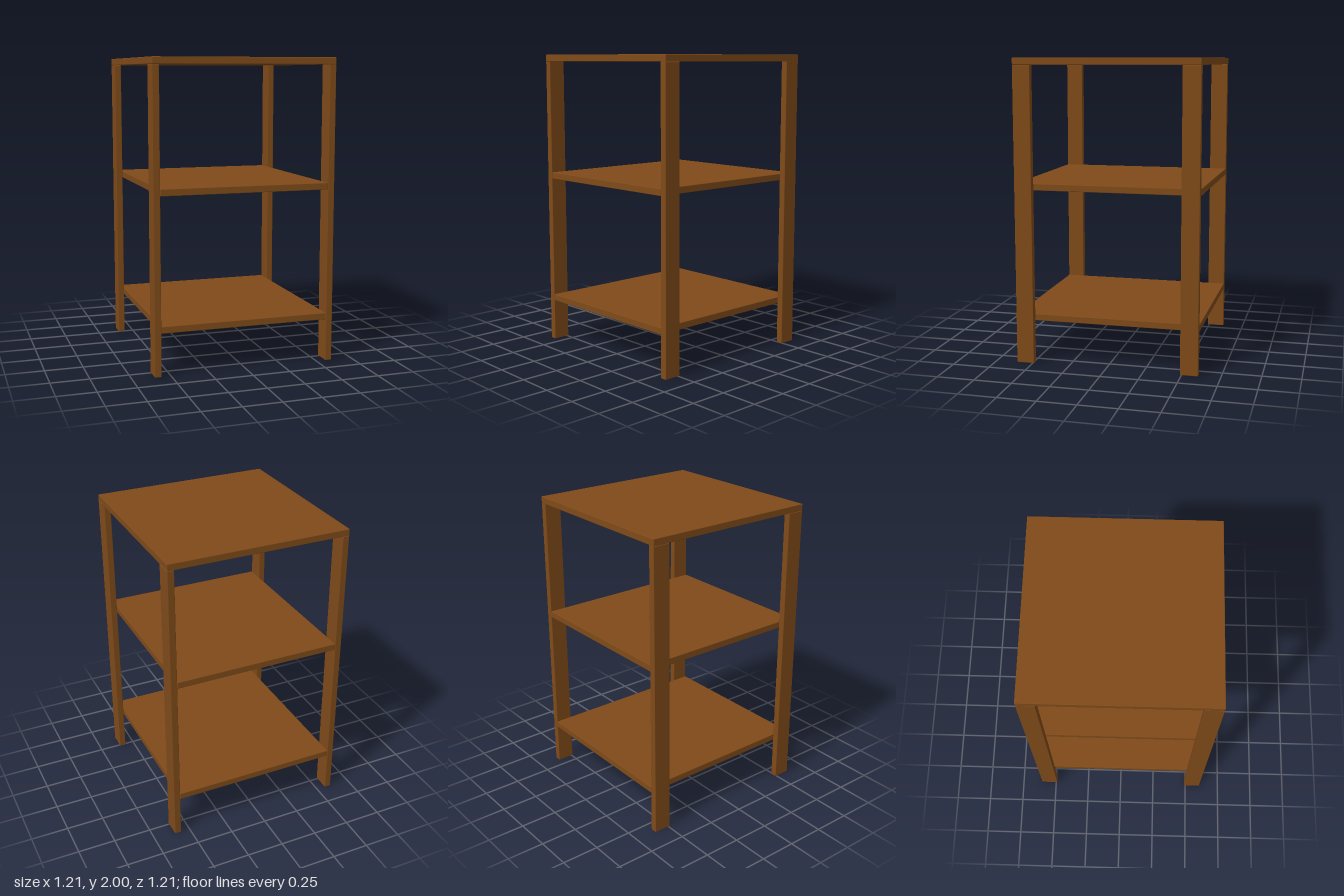
import * as THREE from 'three';
import { RoundedBoxGeometry } from 'three/addons/geometries/RoundedBoxGeometry.js';

const HALF = 0.607;      // half width and depth of the stand
const BOARD = 0.045;     // board thickness
const LEG_DEPTH = 0.117;
const HEIGHT = 2;

export function createModel() {
  const group = new THREE.Group();
  const wood = new THREE.MeshStandardMaterial({ color: 0x7f4a19 });

  // Board with slightly eased edges, placed by its centre
  const board = (name, w, h, d, x, y, z) => {
    const mesh = new THREE.Mesh(new RoundedBoxGeometry(w, h, d, 2, 0.004), wood);
    mesh.name = name;
    mesh.position.set(x, y, z);
    group.add(mesh);
  };

  // Top panel resting on the legs
  board('top', 2 * HALF, BOARD, 2 * HALF, 0, HEIGHT - BOARD / 2, 0);

  // Shelves fitted between the left and right legs
  const shelfWidth = 2 * (HALF - BOARD);
  board('lowerShelf', shelfWidth, BOARD, 2 * HALF, 0, 0.304, 0);
  board('middleShelf', shelfWidth, BOARD, 2 * HALF, 0, 1.172, 0);

  // Four flat plank legs flush with the corners
  const legHeight = HEIGHT - BOARD;
  for (const [side, sx] of [['Left', 1], ['Right', -1]]) {
    for (const [end, sz] of [['front', 1], ['back', -1]]) {
      board(`${end}${side}Leg`, BOARD, legHeight, LEG_DEPTH,
        sx * (HALF - BOARD / 2), legHeight / 2, sz * (HALF - LEG_DEPTH / 2));
    }
  }
  return group;
}
